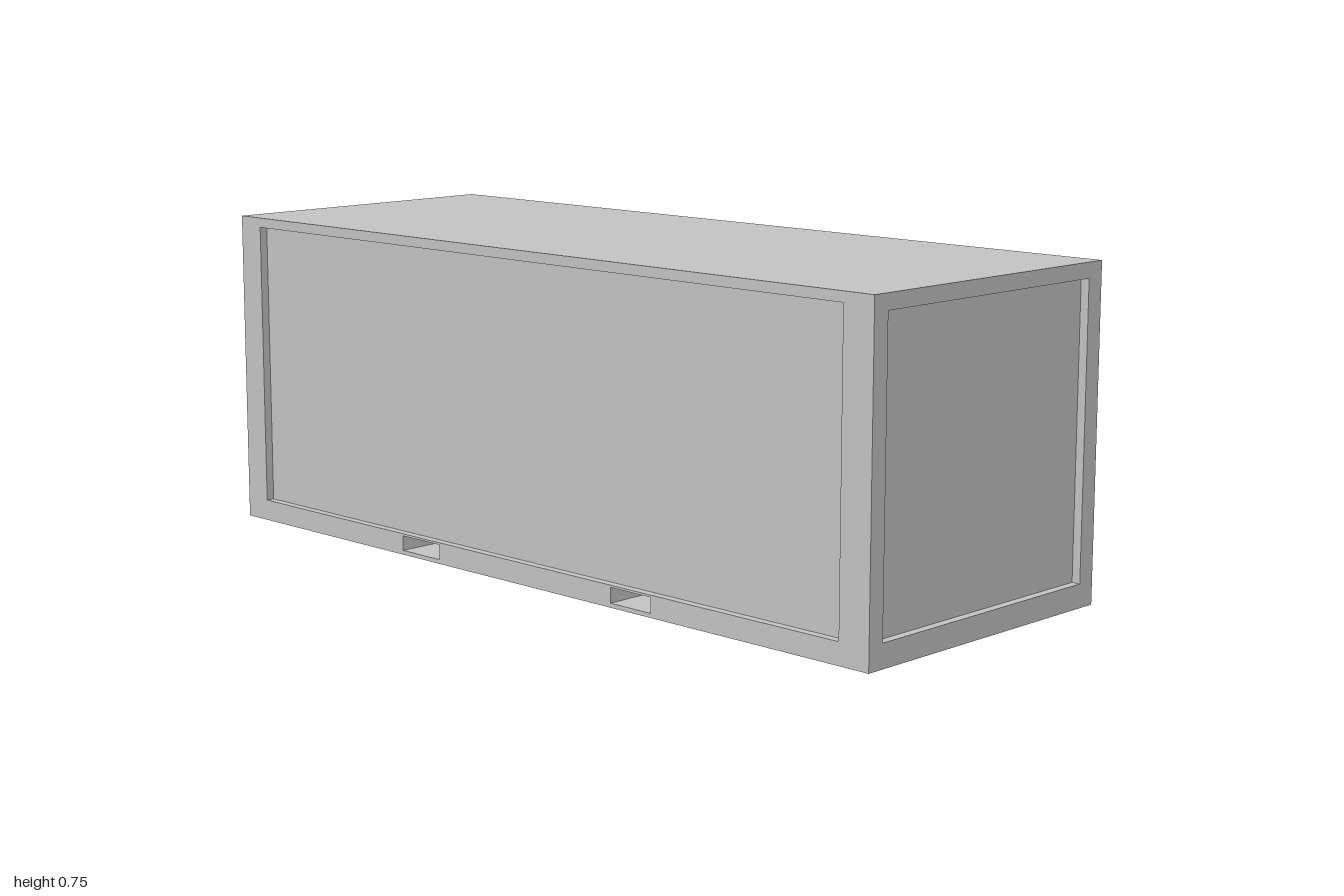
import * as THREE from 'three';

export function createModel() {
  const group = new THREE.Group();
  const grey = new THREE.MeshStandardMaterial({ color: 0xc6c6c6 });
  grey.name = 'container grey';

  const add = (name, geometry) => {
    const mesh = new THREE.Mesh(geometry, grey);
    mesh.name = name;
    group.add(mesh);
    return mesh;
  };

  // Box given by its limits on each axis
  const box = (name, [x0, x1], [y0, y1], [z0, z1]) =>
    add(name, new THREE.BoxGeometry(x1 - x0, y1 - y0, z1 - z0)
      .translate((x0 + x1) / 2, (y0 + y1) / 2, (z0 + z1) / 2));

  // Rectangular plate with rectangular holes, extruded along z
  const rect = (path, [x0, x1, y0, y1]) => {
    path.moveTo(x0, y0).lineTo(x1, y0).lineTo(x1, y1).lineTo(x0, y1).closePath();
    return path;
  };
  const plate = (outer, holes, depth) => {
    const shape = rect(new THREE.Shape(), outer);
    shape.holes = holes.map((h) => rect(new THREE.Path(), h));
    return new THREE.ExtrudeGeometry(shape, { depth, bevelEnabled: false });
  };

  const rim = 0.02;           // depth of the recesses
  const halfZ = 0.375;
  const innerZ = halfZ - rim;
  const pockets = [[-0.41, -0.28, 0.01, 0.045], [0.28, 0.4, 0.01, 0.045]];

  // Long side frames, pierced by the fork pockets, with set-back panels
  const frontWindow = [-0.928, 0.922, 0.05, 0.727];
  const backWindow = [-0.922, 0.928, 0.05, 0.727];
  add('frontFrame', plate([-1, 1, 0, 0.75], [frontWindow, ...pockets], rim).translate(0, 0, innerZ));
  add('backFrame', plate([-1, 1, 0, 0.75], [backWindow, ...pockets], rim).translate(0, 0, -halfZ));
  box('frontPanel', [-0.98, 0.98], [0.046, 0.74], [0.335, innerZ]);
  box('backPanel', [-0.98, 0.98], [0.046, 0.74], [-innerZ, -0.335]);

  // Floor, flush with the open end, with the fork pockets running right through
  add('floor', plate([-1, 0.98, 0, 0.048], pockets, 2 * innerZ).translate(0, 0, -innerZ));
  box('roof', [-0.98, 0.98], [0.715, 0.75], [-innerZ, innerZ]);

  // Closed end: frame and set-back panel
  add('endFrame', plate([-innerZ, innerZ, 0, 0.75], [[-0.33, 0.333, 0.054, 0.715]], rim)
    .rotateY(-Math.PI / 2).translate(1, 0, 0));
  box('endPanel', [0.96, 0.98], [0.046, 0.74], [-0.35, 0.35]);

  // Header over the open end
  box('openingHeader', [-1, -0.98], [0.72, 0.75], [-innerZ, innerZ]);

  return group;
}
